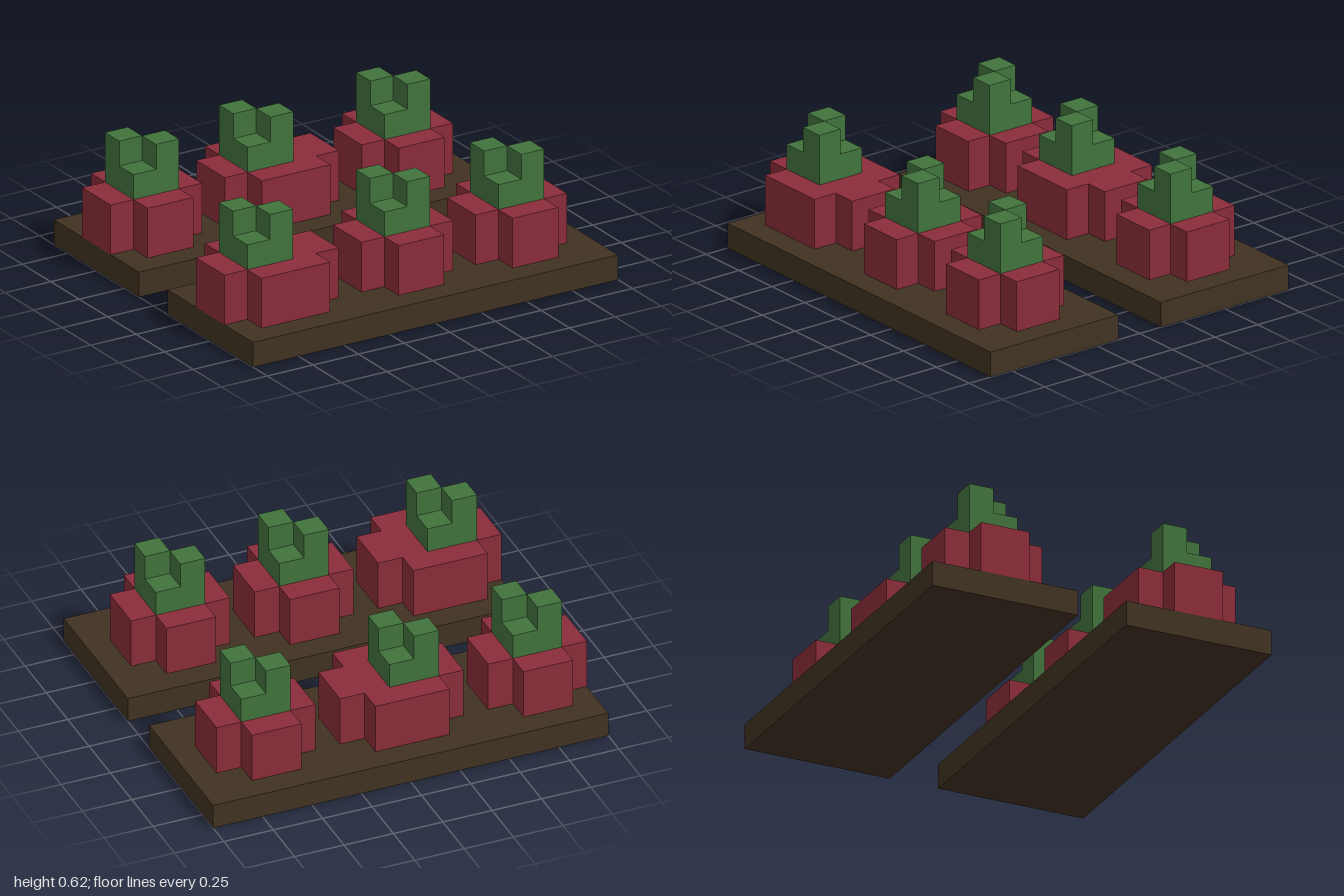
import * as THREE from 'three';

const U = 0.125; // grid unit

const mat = (name, color) => {
  const m = new THREE.MeshStandardMaterial({ color });
  m.name = name;
  return m;
};

export function createModel() {
  const soil = mat('soil brown', 0x403221);
  const red = mat('root red', 0x8a2c3a);
  const green = mat('leaf green', 0x41733c);
  const model = new THREE.Group();
  model.name = 'vegetableBeds';

  // Box sized and centred in grid units, y measured at its bottom
  const box = (parent, name, material, w, h, d, x, y, z) => {
    const mesh = new THREE.Mesh(new THREE.BoxGeometry(w * U, h * U, d * U), material);
    mesh.position.set(x * U, (y + h / 2) * U, z * U);
    mesh.name = name;
    parent.add(mesh);
  };

  // Cross-shaped root, its core reaching from -1 to x1 and its arms one unit further
  const rootGeometry = (x1) => {
    const outline = [
      [-1, -2], [x1, -2], [x1, -1], [x1 + 1, -1], [x1 + 1, 1], [x1, 1],
      [x1, 2], [-1, 2], [-1, 1], [-2, 1], [-2, -1], [-1, -1],
    ].map(([x, y]) => new THREE.Vector2(x * U, y * U));
    const g = new THREE.ExtrudeGeometry(new THREE.Shape(outline), { depth: 2 * U, bevelEnabled: false });
    return g.rotateX(-Math.PI / 2);
  };

  // Plant: root, leaf base and two diagonal leaf tips
  const addPlant = (x, z, wide) => {
    const plant = new THREE.Group();
    plant.name = 'plant';
    plant.position.set(x * U, U, z * U);
    const root = new THREE.Mesh(rootGeometry(wide ? 2 : 1), red);
    root.name = 'root';
    plant.add(root);
    box(plant, 'leafBase', green, 2, 1, 2, 0, 2, 0);
    for (const s of [-1, 1]) box(plant, 'leafTip', green, 1, 1, 1, s / 2, 3, s / 2);
    model.add(plant);
  };

  // Two soil beds
  for (const z of [-4, 4]) box(model, 'soilBed', soil, 16, 1, 6, 0, 0, z);

  // Back row, then front row
  addPlant(-6, -4, false);
  addPlant(-1, -4, true);
  addPlant(5, -4, false);
  addPlant(-6, 4, true);
  addPlant(0, 4, false);
  addPlant(5, 4, false);

  return model;
}
